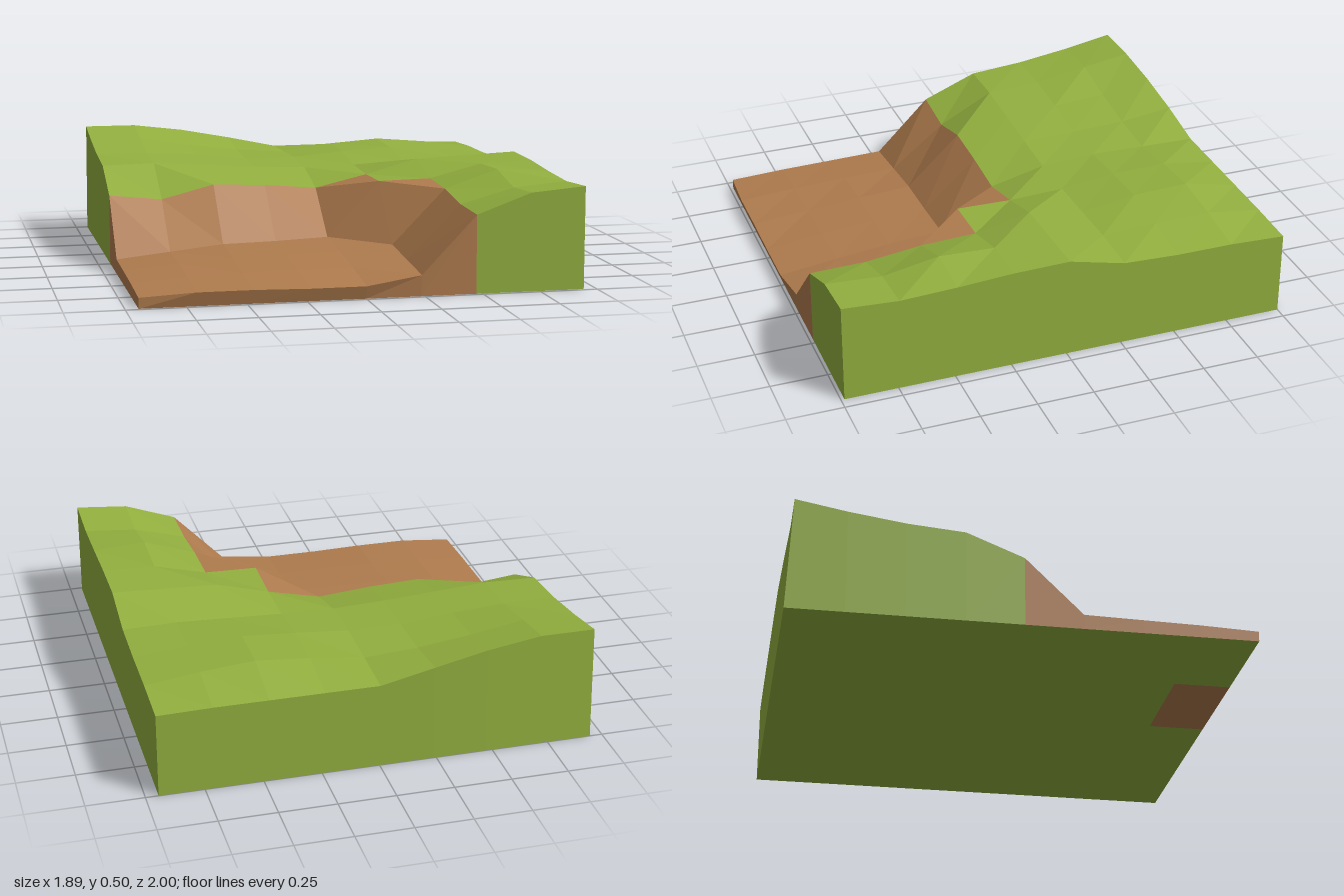
import * as THREE from 'three';

const N = 8; // cells per side

// Surface heights on the 9 x 9 grid: rows from back to front, columns from right (-x) to left (+x)
const HEIGHTS = [
  [0.505, 0.505, 0.475, 0.43, 0.38, 0.38, 0.38, 0.38, 0.375],
  [0.465, 0.47, 0.43, 0.40, 0.385, 0.415, 0.435, 0.415, 0.385],
  [0.43, 0.43, 0.415, 0.39, 0.39, 0.41, 0.425, 0.41, 0.385],
  [0.41, 0.415, 0.40, 0.385, 0.375, 0.38, 0.39, 0.40, 0.395],
  [0.31, 0.285, 0.345, 0.335, 0.315, 0.37, 0.435, 0.445, 0.455],
  [0.065, 0.09, 0.115, 0.12, 0.13, 0.375, 0.38, 0.44, 0.45],
  [0.06, 0.085, 0.10, 0.105, 0.11, 0.13, 0.37, 0.45, 0.435],
  [0.055, 0.075, 0.08, 0.085, 0.085, 0.11, 0.34, 0.405, 0.425],
  [0.045, 0.06, 0.06, 0.055, 0.055, 0.09, 0.335, 0.42, 0.44],
];

// Slightly uneven back and front rims
const BACK_Z = [-0.975, -0.975, -0.985, -0.995, -1, -1, -1, -1, -1];
const FRONT_Z = [0.985, 1, 1, 1, 1, 0.99, 0.985, 0.985, 0.985];

// Number of earth cells in each row, counted from the -x edge
const EARTH = [0, 0, 0, 0, 5, 6, 6, 6];
const isEarth = (r, c) => c < EARTH[r];

const gridX = (c) => -0.945 + (1.89 * c) / N;
const gridZ = (r) => -1 + (1.985 * r) / N;

function top(r, c) {
  const z = r === 0 ? BACK_Z[c] : r === N ? FRONT_Z[c] : gridZ(r);
  return [gridX(c), HEIGHTS[r][c], z];
}
const base = (r, c) => [gridX(c), 0, gridZ(r)];

// Collects quads (corners counter-clockwise from outside) per material
function makePart(name, material) {
  const points = [];
  return {
    quad(a, b, c, d) {
      points.push(...a, ...b, ...c, ...a, ...c, ...d);
    },
    build() {
      const geometry = new THREE.BufferGeometry();
      geometry.setAttribute('position', new THREE.Float32BufferAttribute(points, 3));
      geometry.computeVertexNormals();
      const mesh = new THREE.Mesh(geometry, material);
      mesh.name = name;
      return mesh;
    },
  };
}

export function createModel() {
  const grass = new THREE.MeshStandardMaterial({ color: 0x93b03f, flatShading: true });
  const earth = new THREE.MeshStandardMaterial({ color: 0xb07c4e, flatShading: true });

  const surface = [makePart('grassSurface', grass), makePart('earthSurface', earth)];
  const walls = [makePart('grassWalls', grass), makePart('earthWalls', earth)];
  const floor = [makePart('grassUnderside', grass), makePart('earthUnderside', earth)];

  // Wall strip hanging from the rim between two grid points
  const wall = (kind, [r0, c0], [r1, c1]) =>
    walls[kind].quad(base(r0, c0), base(r1, c1), top(r1, c1), top(r0, c0));

  for (let r = 0; r < N; r++) {
    for (let c = 0; c < N; c++) {
      surface[+isEarth(r, c)].quad(top(r, c), top(r + 1, c), top(r + 1, c + 1), top(r, c + 1));

      // Underside, with a small earth patch at the front
      const patch = r === N - 1 && (c === 2 || c === 3);
      floor[+patch].quad(base(r, c), base(r, c + 1), base(r + 1, c + 1), base(r + 1, c));
    }
  }

  // Four outer walls, coloured like the cell beside them
  for (let i = 0; i < N; i++) {
    wall(+isEarth(N - 1, i), [N, i], [N, i + 1]); // front
    wall(+isEarth(0, i), [0, i + 1], [0, i]); // back
    wall(+isEarth(i, 0), [i, 0], [i + 1, 0]); // right
    wall(+isEarth(i, N - 1), [i + 1, N], [i, N]); // left
  }

  const group = new THREE.Group();
  group.name = 'terrainTile';
  for (const part of [...surface, ...walls, ...floor]) group.add(part.build());
  return group;
}
